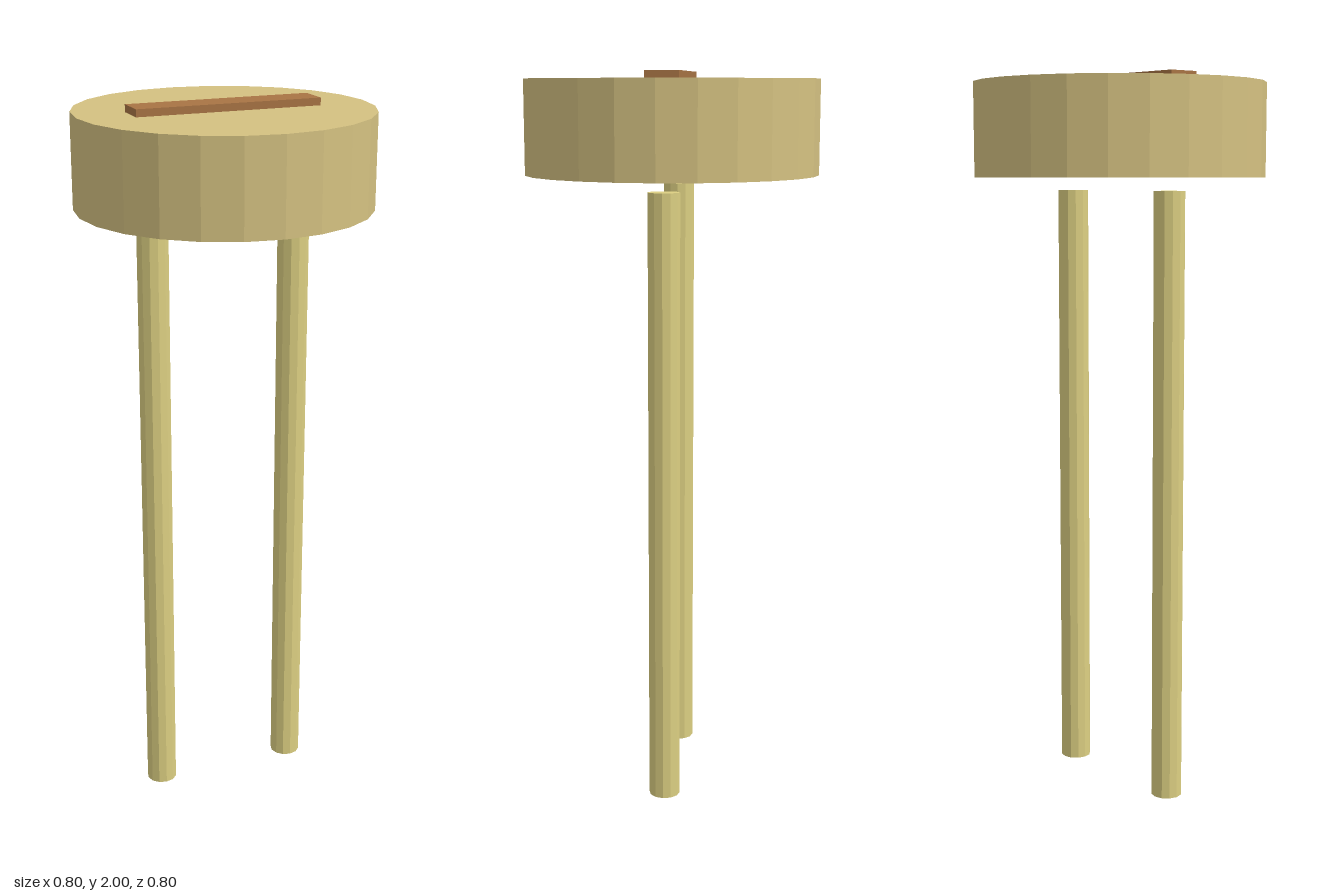
import * as THREE from 'three';

const paint = (color) => new THREE.MeshStandardMaterial({ color, flatShading: true });

export function createModel() {
  const group = new THREE.Group();

  const add = (name, geometry, material, x, bottom, top) => {
    const mesh = new THREE.Mesh(geometry, material);
    mesh.name = name;
    mesh.position.set(x, (bottom + top) / 2, 0);
    group.add(mesh);
  };

  // Round faceted head
  add('head', new THREE.CylinderGeometry(0.4, 0.4, 0.255, 24), paint(0xd4c181), 0, 1.725, 1.98);

  // Raised strip, sunk slightly into the head
  add('topStrip', new THREE.BoxGeometry(0.512, 0.04, 0.088), paint(0xa87444), 0, 1.96, 2);

  // Two straight lead wires, ending just below the head
  const wire = new THREE.CylinderGeometry(0.043, 0.043, 1.69, 12);
  const wireMaterial = paint(0xdccf82);
  for (const [name, side] of [['leftLead', 1], ['rightLead', -1]]) {
    add(name, wire, wireMaterial, side * 0.203, 0, 1.69);
  }

  return group;
}
